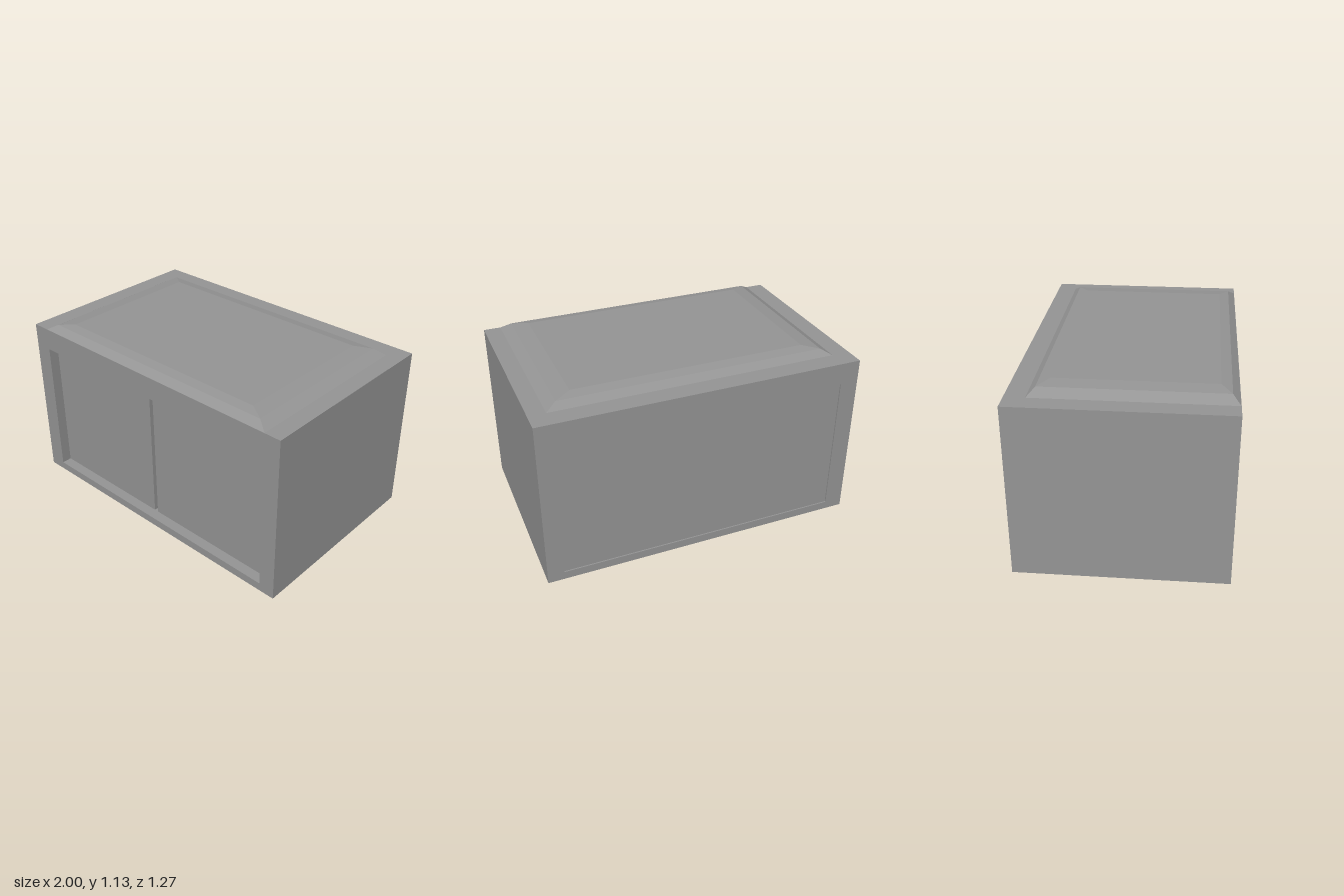
import * as THREE from 'three';

export function createModel() {
  const group = new THREE.Group();
  const mat = new THREE.MeshStandardMaterial({ color: 0x959595, flatShading: true });

  function add(name, geometry) {
    const mesh = new THREE.Mesh(geometry, mat);
    mesh.name = name;
    group.add(mesh);
    return mesh;
  }
  // Box given by its low and high corners
  function box(name, [x0, y0, z0], [x1, y1, z1]) {
    const mesh = add(name, new THREE.BoxGeometry(x1 - x0, y1 - y0, z1 - z0));
    mesh.position.set((x0 + x1) / 2, (y0 + y1) / 2, (z0 + z1) / 2);
  }
  const toPoints = list => list.map(p => new THREE.Vector2(...p));

  const depth = 0.633, height = 1.082;
  const left = -0.885, right = 0.898, low = 0.052, high = 0.942;

  // Casing: rectangular tube, open at front and back
  const outline = new THREE.Shape(toPoints([[-1, 0], [1, 0], [1, height], [-1, height]]));
  outline.holes.push(new THREE.Path(toPoints([[left, low], [left, high], [right, high], [right, low]])));
  const casing = new THREE.ExtrudeGeometry(outline, { depth: depth * 2, bevelEnabled: false });
  casing.translate(0, 0, -depth);
  add('casing', casing);

  // Slightly recessed back panel
  box('backPanel', [left, low, -depth + 0.008], [right, high, -depth + 0.04]);

  // Two recessed doors with a shallow groove between and above them
  const doorFront = 0.568, doorTop = 0.929, grooveBack = 0.543;
  box('rightDoor', [left, low, 0.52], [-0.028, doorTop, doorFront]);
  box('leftDoor', [0, low, 0.52], [right, doorTop, doorFront]);
  box('innerPanel', [left, low, 0.48], [right, high, grooveBack]);

  // Sloped lintel above the doors, drawn in z and y, run along x
  const wedge = new THREE.Shape(toPoints([[grooveBack, doorTop], [0.59, high], [grooveBack, high]]));
  const lintel = new THREE.ExtrudeGeometry(wedge, { depth: 1.67, bevelEnabled: false });
  lintel.rotateY(-Math.PI / 2).translate(0.84, 0, 0);
  add('lintel', lintel);

  // Raised roof panel: stacked rectangles [x0, x1, z0, z1, y]
  const rings = [
    [-0.885, 0.895, -0.512, 0.632, height],
    [-0.82, 0.83, -0.468, 0.588, 1.119],
    [-0.725, 0.73, -0.4, 0.527, 1.13],
  ].map(([x0, x1, z0, z1, y]) => [[x0, y, z1], [x1, y, z1], [x1, y, z0], [x0, y, z0]]);
  const verts = [];
  const quad = (a, b, c, d) => verts.push(...a, ...b, ...c, ...a, ...c, ...d);
  for (let r = 0; r < rings.length - 1; r++) {
    for (let i = 0; i < 4; i++) {
      const j = (i + 1) % 4;
      quad(rings[r][i], rings[r][j], rings[r + 1][j], rings[r + 1][i]);
    }
  }
  quad(...rings[2]);
  const roof = new THREE.BufferGeometry();
  roof.setAttribute('position', new THREE.Float32BufferAttribute(verts, 3));
  roof.computeVertexNormals();
  add('roofPanel', roof);

  return group;
}
